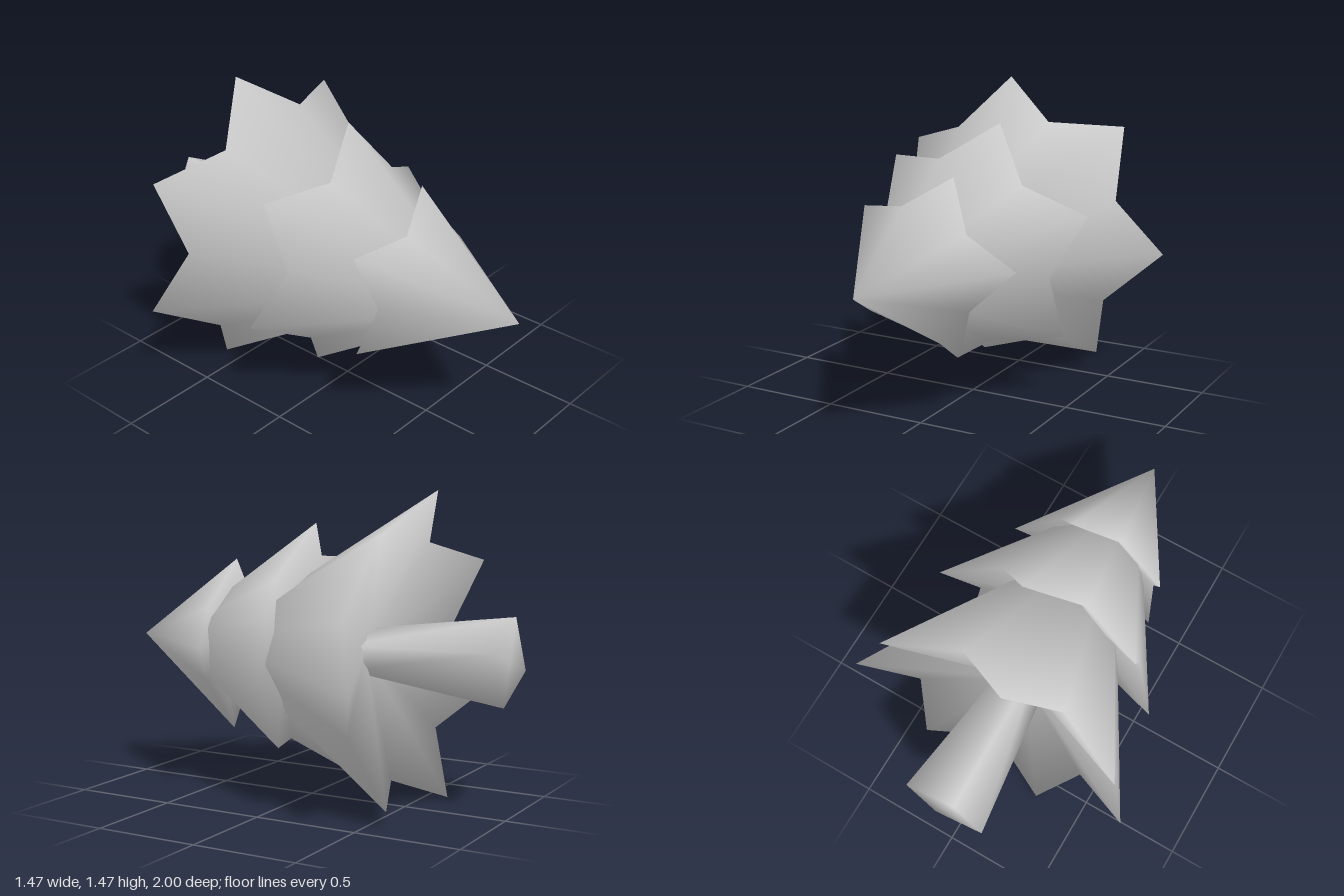
import * as THREE from 'three';

const CX = -0.017, CY = 0.712; // axis of the tree, which lies along z

// Closed smooth solid: a front centre point, rings of [radius, angle, z], a back centre point.
function closedLoft(frontZ, rings, backZ) {
  const n = rings[0].length;
  const pos = [CX, CY, frontZ], idx = [];
  for (const ring of rings)
    for (const [r, a, z] of ring) pos.push(CX + r * Math.cos(a), CY + r * Math.sin(a), z);
  const last = pos.length / 3;
  pos.push(CX, CY, backZ);
  for (let i = 0; i < n; i++) {
    const j = (i + 1) % n;
    idx.push(0, 1 + i, 1 + j);
    for (let k = 0; k < rings.length - 1; k++) {
      const a = 1 + k * n, b = a + n;
      idx.push(a + i, b + i, b + j, a + i, b + j, a + j);
    }
    const e = 1 + (rings.length - 1) * n;
    idx.push(last, e + j, e + i);
  }
  const g = new THREE.BufferGeometry();
  g.setAttribute('position', new THREE.Float32BufferAttribute(pos, 3));
  g.setIndex(idx);
  g.computeVertexNormals();
  return g;
}

// Star-shaped rim: long tips alternating with short, raised notches.
function starRing({ points, turn, tipR, tipZ, notchR, notchZ }) {
  return Array.from({ length: points * 2 }, (_, i) => {
    const a = THREE.MathUtils.degToRad(turn) + (i * Math.PI) / points;
    return i % 2 ? [notchR, a, notchZ] : [tipR, a, tipZ];
  });
}

function polygonRing(sides, turn, r, z) {
  return Array.from({ length: sides }, (_, i) =>
    [r, THREE.MathUtils.degToRad(turn) + (i * 2 * Math.PI) / sides, z]);
}

export function createModel() {
  const group = new THREE.Group();
  group.name = 'tree';
  const grey = new THREE.MeshStandardMaterial({ color: 0xcccccc });
  grey.name = 'plain grey';
  const add = (name, geometry) => {
    const mesh = new THREE.Mesh(geometry, grey);
    mesh.name = name;
    group.add(mesh);
  };

  // Foliage skirts with hollowed undersides
  const tiers = [
    { name: 'topFoliage', apex: 1, hub: 0.55, points: 5, turn: 74.4, tipR: 0.432, tipZ: 0.36, notchR: 0.297, notchZ: 0.45 },
    { name: 'middleFoliage', apex: 0.85, hub: 0.17, points: 6, turn: 79, tipR: 0.61, tipZ: -0.08, notchR: 0.45, notchZ: 0.04 },
    { name: 'bottomFoliage', apex: 0.6, hub: -0.28, points: 7, turn: 97, tipR: 0.757, tipZ: -0.6, notchR: 0.59, notchZ: -0.455 },
  ];
  for (const t of tiers) add(t.name, closedLoft(t.apex, [starRing(t)], t.hub));

  // Four-sided trunk flaring towards its foot
  add('trunk', closedLoft(-0.2, [polygonRing(4, 18, 0.1, -0.2), polygonRing(4, 18, 0.206, -1)], -1));

  return group;
}
